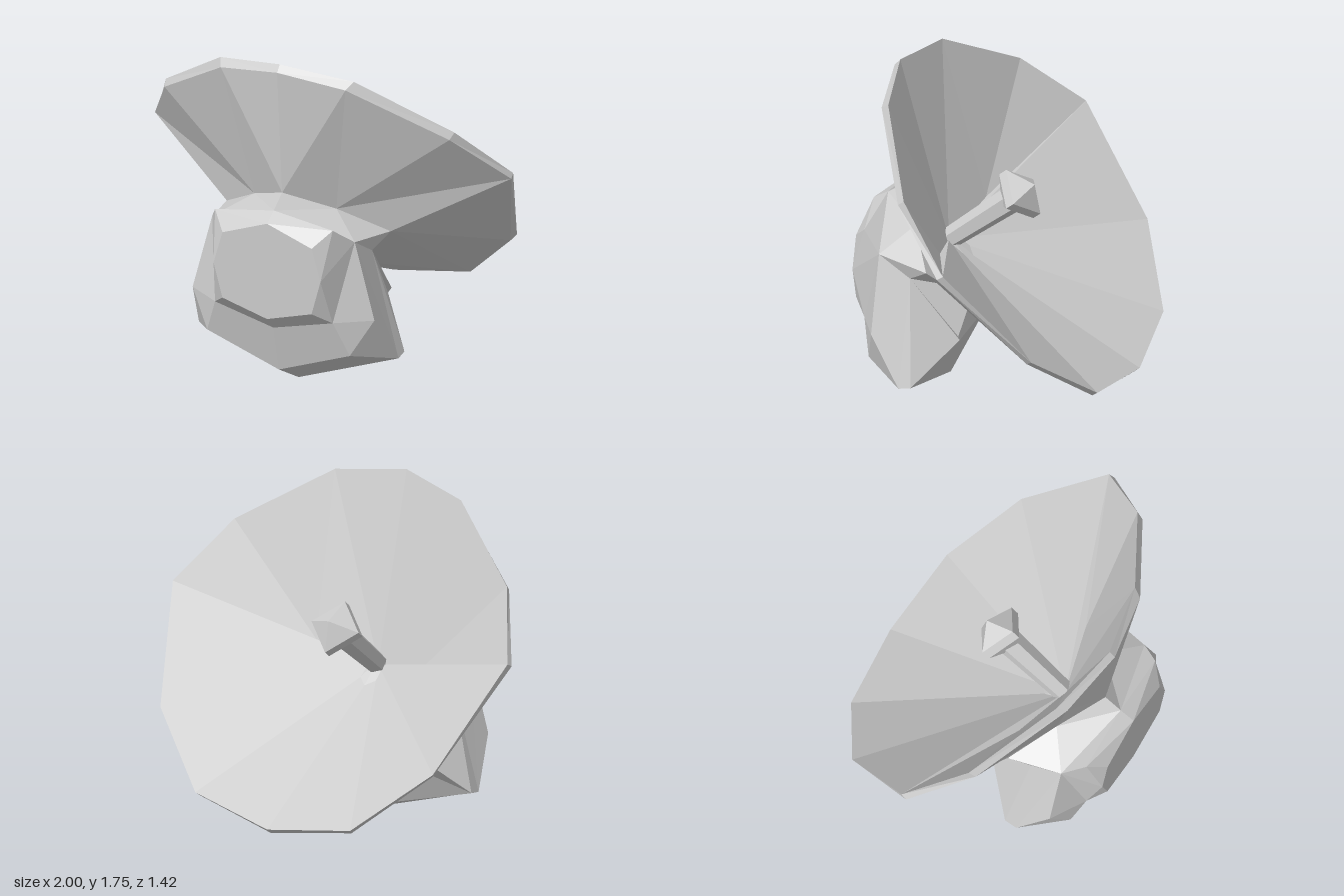
import * as THREE from 'three';

const material = new THREE.MeshStandardMaterial({ color: 0xcccccc, flatShading: true, side: THREE.DoubleSide });

// Skin a sequence of loops. Each loop is given as its +x half, from top to bottom, and mirrored.
function loft(name, halves) {
  const loops = halves.map((half) => [
    ...half,
    ...half.slice(1, -1).reverse().map(([x, y, z]) => [-x, y, z]),
  ].map((p) => new THREE.Vector3(...p)));
  const out = [];
  const tri = (a, b, c) => {
    const area = b.clone().sub(a).cross(c.clone().sub(a)).length();
    if (area > 1e-6) for (const v of [a, b, c]) out.push(v.x, v.y, v.z);
  };
  for (let r = 0; r + 1 < loops.length; r++) {
    const a = loops[r], b = loops[r + 1], n = a.length;
    for (let i = 0; i < n; i++) {
      const j = (i + 1) % n;
      // Mirror the diagonal on the -x side
      if (i < n / 2) {
        tri(a[i], a[j], b[j]);
        tri(a[i], b[j], b[i]);
      } else {
        tri(a[i], a[j], b[i]);
        tri(a[j], b[j], b[i]);
      }
    }
  }
  const geometry = new THREE.BufferGeometry();
  geometry.setAttribute('position', new THREE.Float32BufferAttribute(out, 3));
  geometry.computeVertexNormals();
  const mesh = new THREE.Mesh(geometry, material);
  mesh.name = name;
  return mesh;
}

const repeat = (p, n) => Array(n).fill(p);

export function createModel() {
  const group = new THREE.Group();
  group.name = 'dishAntenna';

  // Faceted base housing: front panel, bevel, widest girth, keel, back
  const panelSide = [0.3, 0.68, 0.71], panelLow = [0.25, 0.5, 0.71], bevelLow = [0.33, 0.44, 0.635];
  const shoulder = [0.4, 0.85, 0.53], backShoulder = [0.41, 0.75, 0.36];
  const keel = [0.56, 0.2, 0.365], backKeel = [0.56, 0.215, 0.3];
  const corner = [0.39, 0.46, 0.11], lowCorner = [0.37, 0.43, 0.11];
  group.add(loft('baseHousing', [
    repeat([0, 0.68, 0.71], 7),
    [[0, 0.94, 0.71], [0.25, 0.85, 0.71], panelSide, ...repeat(panelLow, 3), [0, 0.43, 0.71]],
    [[0, 0.985, 0.635], [0.33, 0.935, 0.635], panelSide, ...repeat(bevelLow, 3), [0, 0.36, 0.64]],
    [[0, 0.95, 0.53], ...repeat(shoulder, 3), [0.51, 0.45, 0.53], [0.4, 0.26, 0.585], [0, 0.115, 0.58]],
    [[0, 0.85, 0.4], ...repeat(backShoulder, 3), keel, keel, [0, 0, 0.365]],
    [[0, 0.8, 0.3], ...repeat(backShoulder, 3), backKeel, backKeel, [0, 0.03, 0.3]],
    [[0, 0.66, 0.11], [0.107, 0.655, 0.11], corner, corner, lowCorner, lowCorner, [0, 0.43, 0.11]],
    repeat([0, 0.5, 0.11], 7),
  ]));

  // Neck wedge between housing and dish
  const hubTop = [0, 1.05, 0.545], hubUpper = [0.23, 0.955, 0.4];
  const hubSide = [0.46, 0.825, 0.255], hubBottom = [0, 0.505, 0];
  group.add(loft('neck', [
    [[0, 0.985, 0.635], shoulder, backShoulder, [0.107, 0.655, 0.11], [0, 0.6, 0.11]],
    [hubTop, hubUpper, hubSide, hubBottom, hubBottom],
  ]));

  // Dish: outer shell, rim band and hollow inside
  const centre = [0, 0.78, 0.31], hollowSide = [0.32, 0.87, 0.235];
  group.add(loft('dish', [
    [hubTop, hubUpper, hubUpper, hubSide, hubSide, hubBottom, hubBottom],
    [[0, 1.71, 0.6], [0.35, 1.655, 0.535], [0.8, 1.38, 0.275], [1, 1.11, -0.01],
      [0.79, 0.605, -0.41], [0.45, 0.3, -0.63], [0, 0.215, -0.675]],
    [[0, 1.745, 0.57], [0.375, 1.69, 0.49], [0.81, 1.41, 0.24], [0.995, 1.13, -0.04],
      [0.81, 0.63, -0.44], [0.46, 0.325, -0.66], [0, 0.245, -0.71]],
    [centre, centre, hollowSide, hollowSide, centre, centre, centre],
  ]));

  // Feed horn on the dish axis
  const feed = new THREE.Group();
  feed.name = 'feed';
  const base = new THREE.Vector3(...centre);
  const axis = new THREE.Vector3(0, 1.09, -0.05).sub(base);
  const length = axis.length();
  feed.position.copy(base);
  feed.quaternion.setFromUnitVectors(new THREE.Vector3(0, 1, 0), axis.normalize());

  const stem = new THREE.Mesh(new THREE.CylinderGeometry(0.07, 0.055, length, 6), material);
  stem.name = 'feedStem';
  stem.position.y = length / 2 - 0.02;

  // Four-sided head with a thick band and a pointed tip
  const profile = [[0, -0.06], [0.06, -0.06], [0.14, 0], [0.14, 0.05], [0, 0.13]];
  const head = new THREE.Mesh(
    new THREE.LatheGeometry(profile.map(([r, y]) => new THREE.Vector2(r, y)), 4), material);
  head.name = 'feedHead';
  head.position.y = length;

  feed.add(stem, head);
  group.add(feed);
  return group;
}
